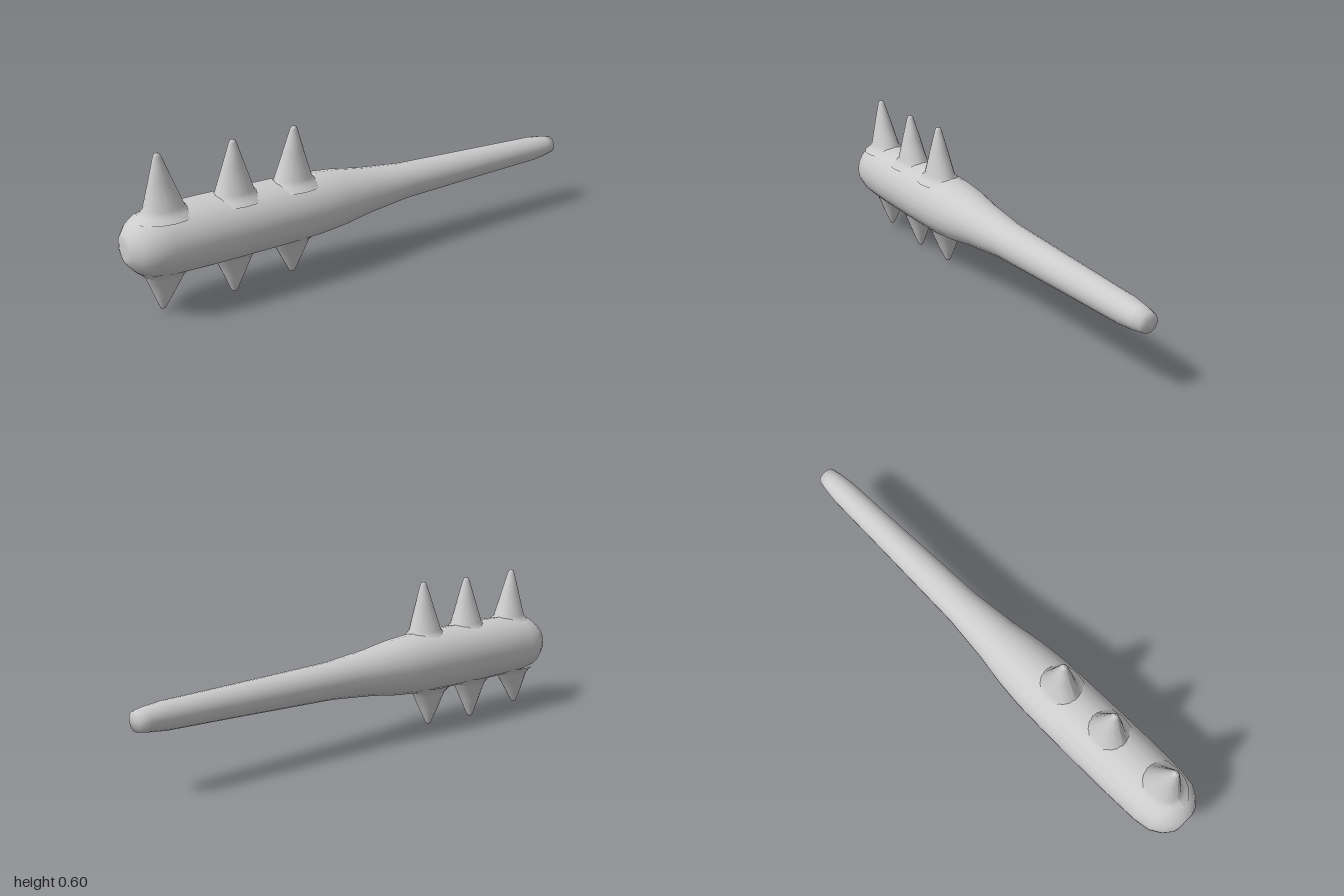
import * as THREE from 'three';

const material = new THREE.MeshStandardMaterial({ color: 0xcccccc });
const AXIS_Y = 0.277;
const points = list => list.map(([r, h]) => new THREE.Vector2(r, h));

// Tapered round club lying along z, handle at the back
function makeShaft() {
  const profile = points([
    [0, -1], [0.036, -1], [0.044, -0.96], [0.052, -0.89], [0.06, -0.6], [0.073, -0.18],
    [0.092, 0.01], [0.112, 0.14], [0.122, 0.25], [0.126, 0.4], [0.128, 0.7], [0.125, 0.86],
    [0.115, 0.925], [0.09, 0.967], [0.055, 0.995], [0.035, 1], [0, 1],
  ]);
  const geometry = new THREE.LatheGeometry(profile, 20);
  geometry.rotateX(Math.PI / 2);
  geometry.scale(1.02, 0.99, 1);
  const mesh = new THREE.Mesh(geometry, material);
  mesh.name = 'clubShaft';
  mesh.position.y = AXIS_Y;
  return mesh;
}

// Blunt cone with a flared foot; y = 0 is where it leaves the shaft
function makeSpike(name, height, baseZ, tipZ, down) {
  const profile = points([
    [0.09, -0.032], [0.072, -0.014], [0.058, 0.004], [0.036, height * 0.5],
    [0.014, height - 0.014], [0.009, height - 0.003], [0, height],
  ]);
  const geometry = new THREE.LatheGeometry(profile, 16);
  const p = geometry.attributes.position;
  for (let i = 0; i < p.count; i++) {
    const t = p.getY(i) / height;
    // Wider along the shaft near the foot, leaning slightly toward the tip
    const stretch = THREE.MathUtils.lerp(1.28, 1.05, Math.max(t, 0));
    p.setX(i, p.getX(i) + 0.012 + 0.007 * t);
    p.setZ(i, p.getZ(i) * stretch + (tipZ - baseZ) * t);
  }
  geometry.computeVertexNormals();
  if (down) geometry.rotateZ(Math.PI);
  const mesh = new THREE.Mesh(geometry, material);
  mesh.name = name;
  mesh.position.set(0, down ? 0.15 : 0.4, baseZ);
  return mesh;
}

export function createModel() {
  const club = new THREE.Group();
  club.name = 'spikedClub';
  club.add(makeShaft());

  // Three pairs of spikes: base z, tip z, upper height, lower height
  const rows = [
    [0.85, 0.865, 0.2, 0.137],
    [0.578, 0.58, 0.195, 0.15],
    [0.335, 0.33, 0.2, 0.137],
  ];
  rows.forEach(([baseZ, tipZ, up, low], i) => {
    club.add(makeSpike(`upperSpike${i + 1}`, up, baseZ, tipZ, false));
    club.add(makeSpike(`lowerSpike${i + 1}`, low, baseZ, tipZ, true));
  });
  return club;
}
